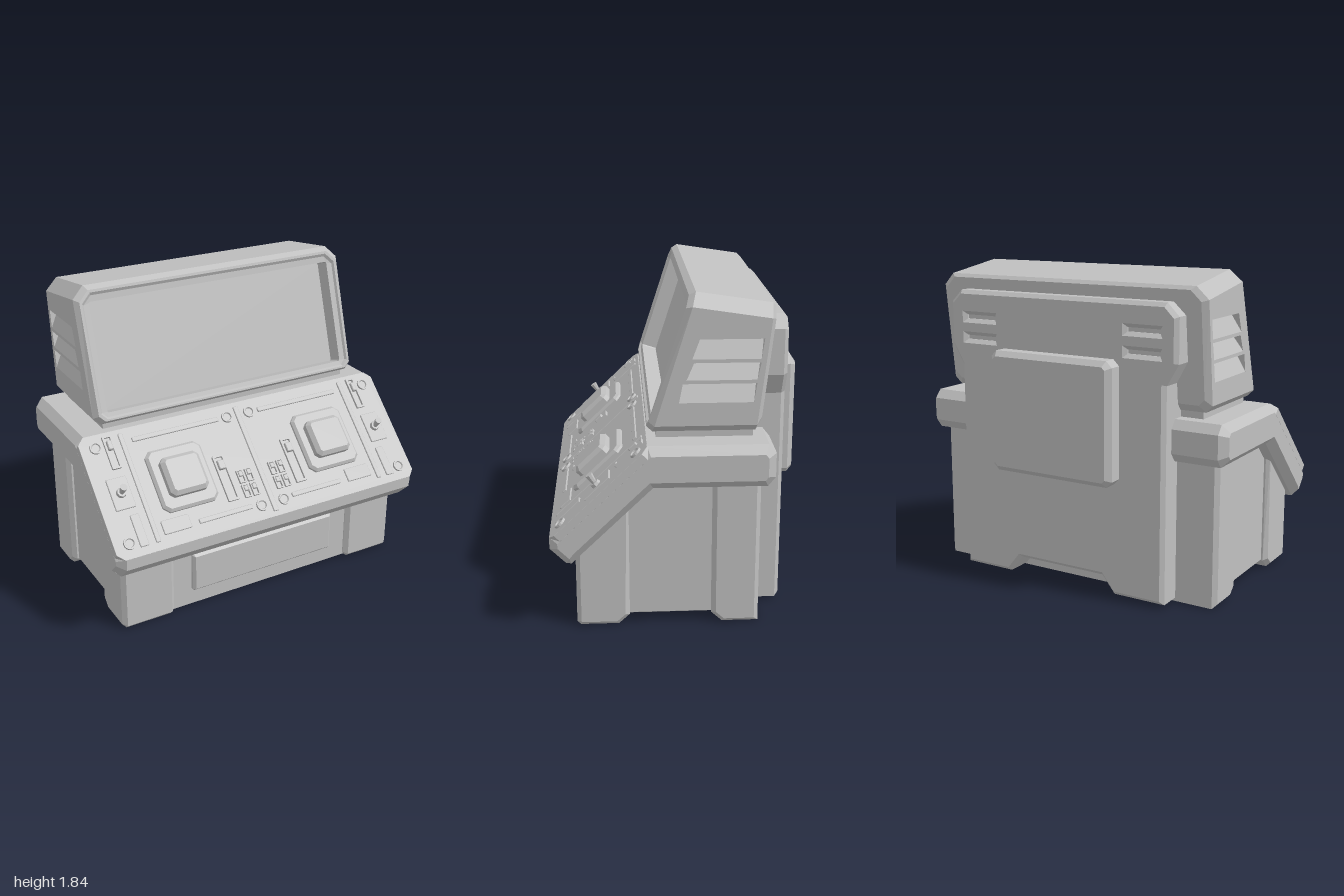
import * as THREE from 'three';

const grey = new THREE.MeshStandardMaterial({ color: 0xc0c0c0, flatShading: true });
grey.name = 'grey';

const polygon = (pts) => new THREE.Shape(pts.map(([x, y]) => new THREE.Vector2(x, y)));

function add(parent, name, geo, x = 0, y = 0, z = 0) {
  const m = new THREE.Mesh(geo, grey);
  m.name = name;
  m.position.set(x, y, z);
  parent.add(m);
  return m;
}

// Chamfered extrusion of a shape, from -c to d along z
const slab = (shape, d, c) => new THREE.ExtrudeGeometry(shape, {
  depth: d - c, bevelEnabled: c > 0, bevelThickness: c, bevelSize: c, bevelOffset: -c, bevelSegments: 1,
});

// Rectangle with cut corners
function cutRect(w, h, k) {
  const a = w / 2, b = h / 2;
  return polygon([[k - a, -b], [a - k, -b], [a, k - b], [a, b - k], [a - k, b], [k - a, b], [-a, b - k], [-a, k - b]]);
}
const plate = (w, h, d, k = 0.02, c = 0.012) => slab(cutRect(w, h, k), d, c);

// Side profile of [z, y] points, run across from x0 to x1
function across(pts, x0, x1, b) {
  const g = new THREE.ExtrudeGeometry(polygon(pts.map(([z, y]) => [-z, y])), {
    depth: x1 - x0 - 2 * b, bevelThickness: b, bevelSize: b, bevelOffset: -b, bevelSegments: 1,
  });
  return g.rotateY(Math.PI / 2).translate(x0 + b, 0, 0);
}

// Geometry from a list of convex polygons
function faces(list) {
  const pos = [];
  for (const f of list)
    for (let i = 1; i < f.length - 1; i++) pos.push(...f[0], ...f[i], ...f[i + 1]);
  const g = new THREE.BufferGeometry();
  g.setAttribute('position', new THREE.Float32BufferAttribute(pos, 3));
  g.computeVertexNormals();
  return g;
}

// Mirror in x, keeping the faces turned outward
function mirrored(geo) {
  const g = geo.index ? geo.toNonIndexed() : geo.clone();
  const p = g.attributes.position, out = [];
  for (let i = 0; i < p.count; i += 3)
    for (const k of [i, i + 2, i + 1]) out.push(-p.getX(k), p.getY(k), p.getZ(k));
  g.setAttribute('position', new THREE.Float32BufferAttribute(out, 3));
  g.computeVertexNormals();
  return g;
}

// Eight-sided ring standing on the line from [zb, yb] up to [zt, yt]
function ring(hx, [zb, yb], [zt, yt], ct, cb) {
  const L = Math.hypot(zt - zb, yt - yb);
  const p = (x, s) => [x, yb + (yt - yb) * s / L, zb + (zt - zb) * s / L];
  return [p(cb - hx, 0), p(hx - cb, 0), p(hx, cb), p(hx, L - ct), p(hx - ct, L), p(ct - hx, L), p(-hx, L - ct), p(-hx, cb)];
}

function buildScreenHousing(parent) {
  const head = new THREE.Group();
  head.name = 'screenHousing';
  parent.add(head);
  // Point on the leaning front: s up the slope, d into the case
  const F = (s, d) => [0.17 - 0.308 * s - 0.952 * d, 1.12 + 0.952 * s - 0.308 * d];
  const rings = [
    ring(0.79, F(0.045, 0.11), F(0.665, 0.11), 0.006, 0.006),
    ring(0.79, F(0.045, 0.015), F(0.665, 0.015), 0.006, 0.006),
    ring(0.825, F(0.02, 0.012), F(0.7, 0.012), 0.05, 0.03),
    ring(0.835, F(0.01, 0), F(0.715, 0), 0.055, 0.035),
    ring(0.85, F(0, 0), F(0.73, 0), 0.06, 0.035),
    ring(0.875, [0.14, 1.095], [-0.09, 1.835], 0.07, 0.04),
    ring(0.875, [-0.41, 1.095], [-0.49, 1.775], 0.07, 0.04),
    ring(0.84, [-0.44, 1.135], [-0.51, 1.755], 0.06, 0.035),
  ];
  const list = [rings[0], [...rings[7]].reverse()];
  for (let i = 0; i < 7; i++)
    for (let j = 0; j < 8; j++) {
      if (i === 5 && (j === 2 || j === 6)) continue; // sides carry the vents
      const k = (j + 1) % 8;
      list.push([rings[i][j], rings[i + 1][j], rings[i + 1][k], rings[i][k]]);
    }
  add(head, 'screenCase', faces(list));

  // Vented sides: [top y, bottom y, top from, top to, bottom from, bottom to]
  const vents = [
    [1.6, 1.494, 0.107, 0.443, 0.068, 0.428],
    [1.475, 1.382, 0.078, 0.428, 0.039, 0.409],
    [1.363, 1.26, 0.02, 0.409, 0, 0.394],
  ];
  const [a, b] = [rings[5], rings[6]];
  const side = polygon([a[2], b[2], b[3], a[3]].map((p) => [-p[2], p[1]]));
  const pockets = [];
  for (const [yt, yb, t0, t1, b0, b1] of vents) {
    side.holes.push(new THREE.Path([[b0, yb], [t0, yt], [t1, yt], [b1, yb]].map((p) => new THREE.Vector2(...p))));
    const T0 = [t0, yt, 0], T1 = [t1, yt, 0], B0 = [b0, yb, 0], B1 = [b1, yb, 0];
    const D0 = [t0, yt, -0.05], D1 = [t1, yt, -0.05];
    pockets.push([B0, B1, D1, D0], [T0, D0, D1, T1], [B0, D0, T0], [B1, T1, D1]);
  }
  for (const [name, g] of [['sidePanel', new THREE.ShapeGeometry(side)], ['sideVents', faces(pockets)]]) {
    g.rotateY(Math.PI / 2).translate(0.875, 0, 0);
    add(head, name, g);
    add(head, name, mirrored(g));
  }
  add(parent, 'neck', new THREE.BoxGeometry(1.63, 0.1, 0.52), 0, 1.07, -0.14);
}

function buildControls(parent) {
  const panel = new THREE.Group();
  panel.name = 'controlPanel';
  panel.position.set(0, 0.8025, 0.4325);
  panel.rotation.x = -0.805;
  parent.add(panel);
  add(panel, 'panelFace', plate(2, 0.728, 0.045, 0.04, 0.001), 0, 0, -0.044);
  add(panel, 'centreStrip', plate(0.032, 0.67, 0.01, 0.004, 0.003));

  const screw = new THREE.LatheGeometry([[0.035, 0], [0.035, 0.014], [0.026, 0.014], [0.022, 0.007], [0, 0.007]]
    .map((p) => new THREE.Vector2(...p)), 16).rotateX(Math.PI / 2);
  const frame = (w, h, t) => {
    const s = cutRect(w, h, 0.003);
    s.holes.push(new THREE.Path(cutRect(w - 2 * t, h - 2 * t, 0.002).getPoints()));
    return slab(s, 0.016, 0);
  };
  // Raised strips: x, up the slope, width, height
  const strips = [
    [0.412, 0.285, 0.555, 0.028], [0.307, -0.27, 0.345, 0.028], [0.615, -0.25, 0.17, 0.08],
    [0.747, 0.01, 0.028, 0.655], [0.83, -0.225, 0.052, 0.185],
  ];
  for (const s of [-1, 1]) {
    for (const [x, v, w, h] of strips) add(panel, 'strip', plate(w, h, 0.01, 0.004, 0.003), s * x, v);
    for (const x of [0.075, 0.91])
      for (const v of [0.285, -0.28]) add(panel, 'screw', screw, s * x, v);
    // Large push button on its raised base
    add(panel, 'buttonBase', plate(0.35, 0.37, 0.03, 0.035, 0.015), s * 0.485, 0.005);
    add(panel, 'button', plate(0.24, 0.23, 0.06, 0.025, 0.022), s * 0.485, 0.005, 0.027);
    // Sliders
    for (const [x, v, w, h] of [[0.23, -0.07, 0.072, 0.28], [0.83, 0.24, 0.058, 0.2]]) {
      add(panel, 'sliderFrame', frame(w, h, 0.012), s * x, v);
      add(panel, 'sliderKnob', plate(w - 0.03, 0.055, 0.028, 0.004, 0.004), s * x, v + h / 2 - 0.06);
    }
    // Small rocker switches
    for (const x of [0.08, 0.135])
      for (const v of [-0.085, -0.175]) {
        add(panel, 'switchFrame', frame(0.042, 0.08, 0.007), s * x, v);
        add(panel, 'switchRocker', plate(0.025, 0.03, 0.02, 0.003, 0.003), s * x, v + 0.015);
      }
    // Toggle lever
    add(panel, 'togglePlate', plate(0.12, 0.185, 0.01, 0.004, 0.003), s * 0.86, 0);
    add(panel, 'toggleCollar', new THREE.CylinderGeometry(0.026, 0.03, 0.02, 8).rotateX(Math.PI / 2), s * 0.86, 0, 0.018);
    add(panel, 'toggleLever', new THREE.CylinderGeometry(0.022, 0.013, 0.06, 8).rotateX(Math.PI / 2 - 0.2), s * 0.86, 0.005, 0.05);
  }
}

function buildBack(parent) {
  // Plate with stepped shoulders and a cut-out at the foot
  const half = [[0.28, 0.12], [0.36, 0.02], [0.68, 0.02], [0.68, 1.25], [0.75, 1.37], [0.75, 1.62], [0.68, 1.69]];
  const shape = polygon([...half, ...half.map(([x, y]) => [-x, y]).reverse()]);
  for (const s of [-1, 1])
    for (const y of [1.535, 1.415]) {
      shape.holes.push(new THREE.Path([[-0.1, -0.012], [-0.1, 0.012], [0.1, 0.012], [0.1, -0.012]]
        .map(([x, v]) => new THREE.Vector2(s * 0.54 + x, y + v))));
      add(parent, 'slotBacking', new THREE.BoxGeometry(0.24, 0.06, 0.04), s * 0.54, y, -0.54);
    }
  add(parent, 'backPlate', slab(shape, 0.19, 0.022).rotateY(Math.PI), 0, 0, -0.4);
  add(parent, 'backBox', plate(0.8, 0.7, 0.11, 0.035, 0.03).rotateY(Math.PI), 0, 1.02, -0.585);
}

export function createModel() {
  const model = new THREE.Group();
  model.name = 'controlConsole';

  // Base with four corner posts
  add(model, 'base', across([[0.53, 0.012], [0.53, 0.5], [0.2, 0.82], [-0.42, 0.9], [-0.42, 0.012], [-0.23, 0.012],
    [-0.18, 0.055], [0.27, 0.055], [0.32, 0.012]], -0.895, 0.895, 0.005));
  const front = [[0.54, 0], [0.56, 0.02], [0.56, 0.5], [0.27, 0.78], [0.27, 0.055], [0.33, 0]];
  const rear = [[-0.18, 0.055], [-0.18, 0.9], [-0.44, 0.9], [-0.44, 0], [-0.24, 0]];
  for (const [name, pts] of [['frontPost', front], ['rearPost', rear]])
    for (const x of [-0.93, 0.6]) add(model, name, across(pts, x, x + 0.33, 0.024));
  add(model, 'frontDrawer', plate(0.96, 0.245, 0.03, 0.008, 0.015), 0, 0.232, 0.53);

  // Bent console top
  add(model, 'consoleTop', across([[0.17, 1.055], [-0.47, 1.055], [-0.51, 1.005], [-0.51, 0.87], [-0.47, 0.82],
    [0.14, 0.82], [0.58, 0.395], [0.61, 0.4], [0.695, 0.485], [0.695, 0.55]], -1, 1, 0.045));

  buildControls(model);
  buildScreenHousing(model);
  buildBack(model);
  return model;
}
